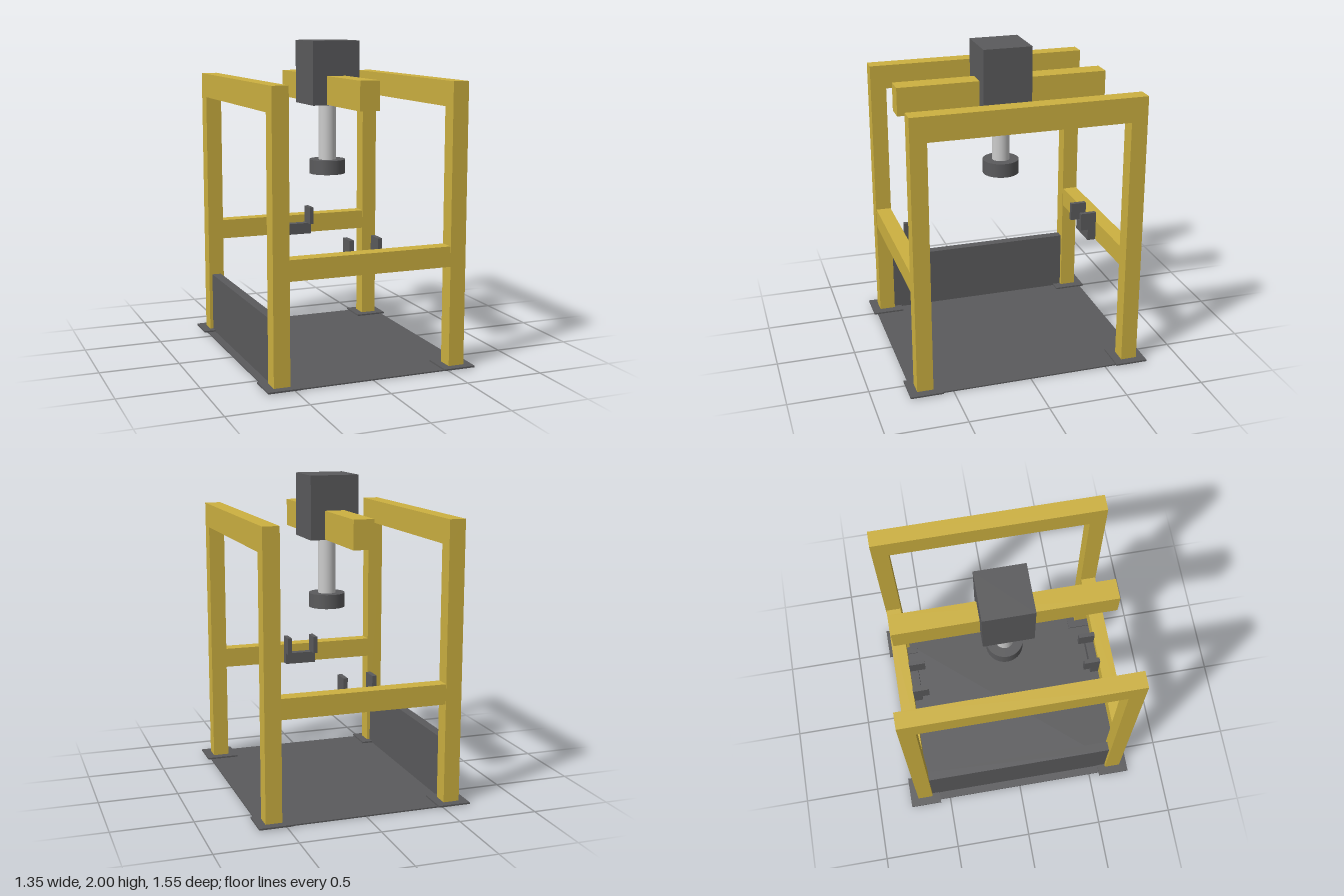
import * as THREE from 'three';

export function createModel() {
  const model = new THREE.Group();
  const yellow = new THREE.MeshStandardMaterial({ color: 0xccb040 });
  const dark = new THREE.MeshStandardMaterial({ color: 0x5a5a5c });
  const grey = new THREE.MeshStandardMaterial({ color: 0xcccccc });

  function add(name, geometry, material, x, y, z) {
    const mesh = new THREE.Mesh(geometry, material);
    mesh.name = name;
    mesh.position.set(x, y, z);
    model.add(mesh);
  }

  // Box given by its width, depth, bottom and top heights and centre
  function box(name, material, w, d, y0, y1, x = 0, z = 0) {
    add(name, new THREE.BoxGeometry(w, y1 - y0, d), material, x, (y0 + y1) / 2, z);
  }

  function cylinder(name, material, radius, y0, y1) {
    add(name, new THREE.CylinderGeometry(radius, radius, y1 - y0, 48), material, 0, (y0 + y1) / 2, 0);
  }

  // Floor plate and side panel
  box('basePlate', dark, 1.3, 1.5, 0, 0.008);
  box('sidePanel', dark, 0.06, 1.24, 0.008, 0.4, -0.57);

  // Side frames: posts on foot plates, joined by a top rail
  for (const sx of [-1, 1]) {
    const x = sx * 0.57;
    for (const sz of [-1, 1]) {
      const z = sz * 0.672;
      box('footPlate', dark, 0.206, 0.206, 0.008, 0.018, x, z);
      box('post', yellow, 0.102, 0.102, 0.018, 1.615, x, z);
    }
    box('topRail', yellow, 0.102, 1.446, 1.615, 1.77, x);
  }

  // Front and back crossbars with inner brackets and pairs of prongs
  for (const sz of [-1, 1]) {
    box('crossbar', yellow, 1.04, 0.096, 0.645, 0.772, 0, sz * 0.672);
    box('bracket', dark, 0.212, 0.055, 0.645, 0.72, 0, sz * 0.597);
    for (const sx of [-1, 1]) {
      box('prong', dark, 0.028, 0.104, 0.72, 0.836, sx * 0.092, sz * 0.572);
    }
  }

  // Press: centre beam, housing, ram and pressing head
  box('centreBeam', yellow, 0.126, 1.346, 1.605, 1.783);
  box('housing', dark, 0.31, 0.31, 1.602, 2);
  cylinder('ram', grey, 0.056, 1.245, 1.602);
  cylinder('pressHead', dark, 0.115, 1.155, 1.245);

  return model;
}
